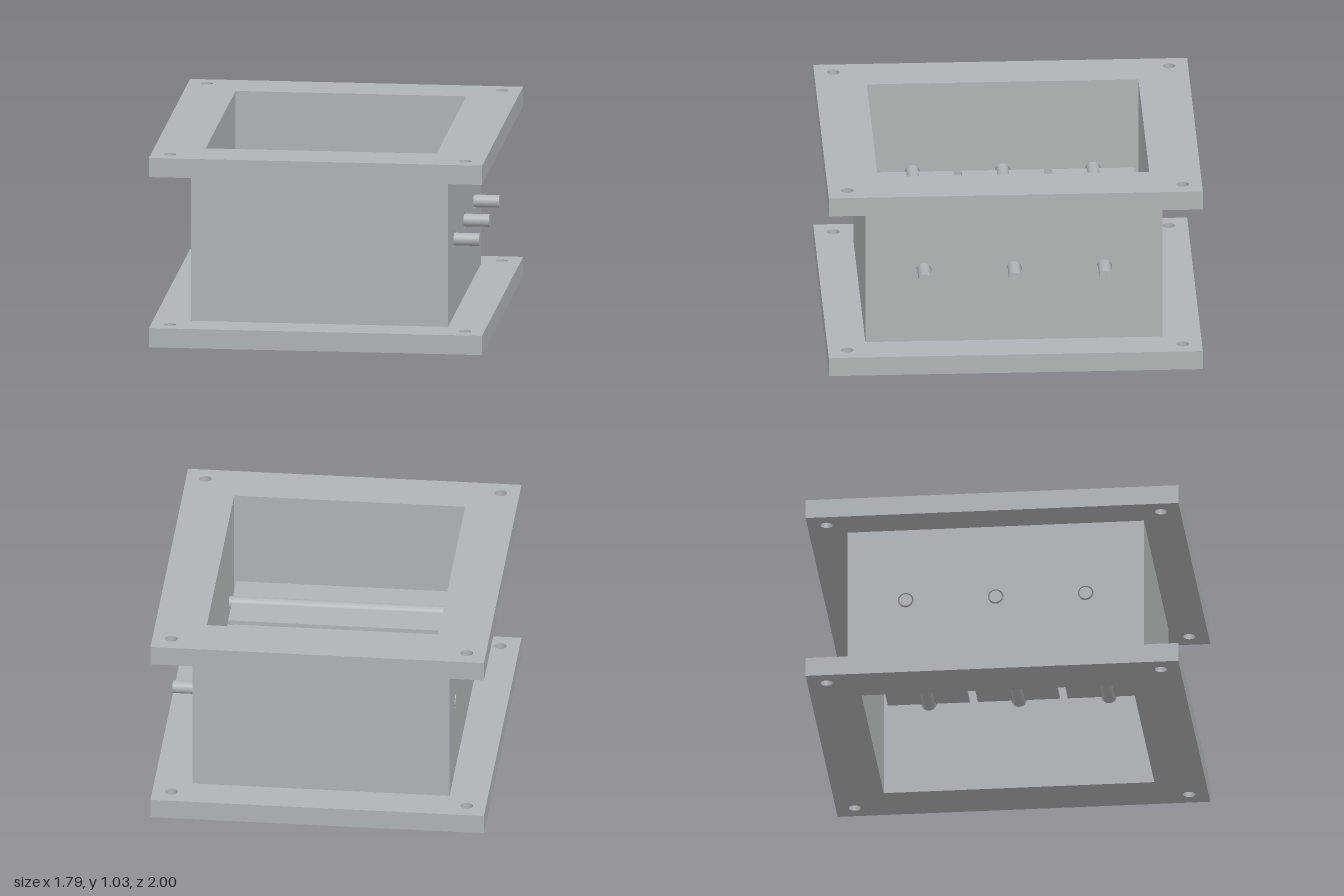
import * as THREE from 'three';
import { toCreasedNormals } from 'three/addons/utils/BufferGeometryUtils.js';

const steel = new THREE.MeshStandardMaterial({ color: 0xb0b4b6 });
steel.name = 'steel grey';

const FLANGE = { x: 0.895, z: 1.0, t: 0.105 };
const OUTER = { x: 0.69, z: 0.795 };
const INNER = { x: 0.62, z: 0.726 };
const HEIGHT = 1.035;
const AXIS_Y = 0.518;
const SHAFT_Z = [-0.483, 0, 0.483];

function rectPath(path, hx, y0, y1) {
  path.moveTo(-hx, y0);
  path.lineTo(hx, y0);
  path.lineTo(hx, y1);
  path.lineTo(-hx, y1);
  path.closePath();
  return path;
}

function circlePath(x, y, r) {
  const path = new THREE.Path();
  path.absarc(x, y, r, 0, Math.PI * 2, true);
  return path;
}

function plate(shape, depth) {
  const geo = new THREE.ExtrudeGeometry(shape, { depth, bevelEnabled: false, curveSegments: 24 });
  return toCreasedNormals(geo, 0.6);
}

export function createModel() {
  const model = new THREE.Group();
  model.name = 'louvreDamper';

  function add(name, geometry, x, y, z) {
    const mesh = new THREE.Mesh(geometry, steel);
    mesh.name = name;
    mesh.position.set(x, y, z);
    model.add(mesh);
  }

  // Flanges: square rings with a bolt hole in each corner
  const ring = rectPath(new THREE.Shape(), FLANGE.x, -FLANGE.z, FLANGE.z);
  ring.holes.push(rectPath(new THREE.Path(), INNER.x, -INNER.z, INNER.z));
  for (const sx of [-1, 1]) {
    for (const sz of [-1, 1]) ring.holes.push(circlePath(sx * 0.793, sz * 0.897, 0.033));
  }
  const flangeGeo = plate(ring, FLANGE.t).rotateX(-Math.PI / 2);
  add('bottomFlange', flangeGeo, 0, 0, 0);
  add('topFlange', flangeGeo, 0, HEIGHT - FLANGE.t, 0);

  // Front and back duct walls
  const wallH = HEIGHT - 2 * FLANGE.t;
  const wallT = OUTER.z - INNER.z;
  const endGeo = new THREE.BoxGeometry(OUTER.x * 2, wallH, wallT);
  add('frontWall', endGeo, 0, HEIGHT / 2, INNER.z + wallT / 2);
  add('backWall', endGeo, 0, HEIGHT / 2, -INNER.z - wallT / 2);

  // Side walls with clearance holes for the shafts
  const side = rectPath(new THREE.Shape(), INNER.z, FLANGE.t, HEIGHT - FLANGE.t);
  for (const z of SHAFT_Z) side.holes.push(circlePath(z, AXIS_Y, 0.042));
  const sideGeo = plate(side, OUTER.x - INNER.x).rotateY(Math.PI / 2);
  add('leftWall', sideGeo, INNER.x, 0, 0);
  add('rightWall', sideGeo, -OUTER.x, 0, 0);

  // Louvre blades on shafts that stick out on the left side
  const x0 = -0.694, x1 = 0.826;
  const shaftGeo = new THREE.CylinderGeometry(0.034, 0.034, x1 - x0, 32).rotateZ(Math.PI / 2);
  const bladeGeo = new THREE.BoxGeometry(1.212, 0.02, 0.44);
  SHAFT_Z.forEach((z, i) => {
    add(`shaft${i + 1}`, shaftGeo, (x0 + x1) / 2, AXIS_Y, z);
    add(`blade${i + 1}`, bladeGeo, 0, AXIS_Y, z);
  });

  return model;
}
